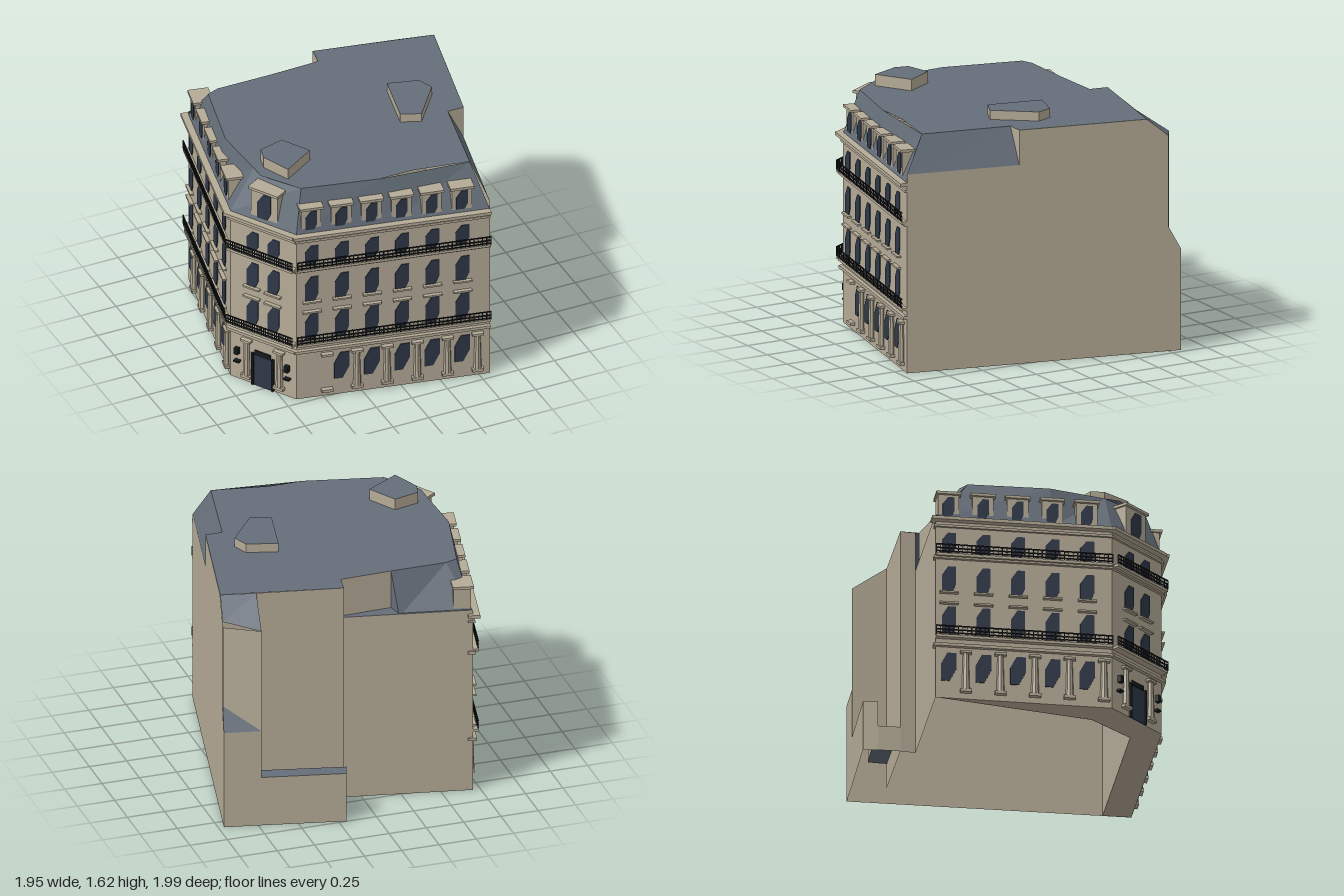
import * as THREE from 'three';

const mat = (name, color) => {
  const m = new THREE.MeshStandardMaterial({ color, side: THREE.DoubleSide, flatShading: true });
  m.name = name;
  return m;
};

export function createModel() {
  const stone = mat('stone', 0xb5ab97), slate = mat('slate', 0x656e79);
  const glass = mat('glass', 0x2e3848), iron = mat('iron', 0x171a1e);
  const root = new THREE.Group();
  root.name = 'cornerBuilding';

  const add = (parent, name, geo, material, x = 0, y = 0, z = 0) => {
    const m = new THREE.Mesh(geo, material);
    m.name = name;
    m.position.set(x, y, z);
    parent.add(m);
    return m;
  };
  const box = (parent, name, m, w, h, d, x, y, z) => add(parent, name, new THREE.BoxGeometry(w, h, d), m, x, y, z);
  const shapeOf = pts => new THREE.Shape(pts.map(p => new THREE.Vector2(p[0], p[1])));

  // ruled surface between two rows of [x, y, z] points
  const loft = (name, m, low, high) => {
    const pos = [];
    for (let i = 0; i + 1 < low.length; i++) {
      pos.push(...low[i], ...low[i + 1], ...high[i + 1], ...low[i], ...high[i + 1], ...high[i]);
    }
    const g = new THREE.BufferGeometry();
    g.setAttribute('position', new THREE.Float32BufferAttribute(pos, 3));
    g.computeVertexNormals();
    add(root, name, g, m);
  };
  const at = (pts, y) => pts.map(p => [p[0], y, p[1]]);
  const wall = (name, pts, y0, y1, m = stone) => loft(name, m, at(pts, y0), at(pts, y1));
  // horizontal polygon from [x, z] points
  const flat = (name, m, pts, y) => {
    const g = new THREE.ShapeGeometry(shapeOf(pts.map(p => [p[0], -p[1]])));
    g.rotateX(-Math.PI / 2);
    add(root, name, g, m, 0, y, 0);
  };
  // group whose x runs along the wall from a to b and whose z points outwards
  const frame = (name, a, b) => {
    const g = new THREE.Group();
    g.name = name;
    g.position.set(a[0], 0, a[1]);
    g.rotation.y = -Math.atan2(b[1] - a[1], b[0] - a[0]);
    root.add(g);
    return [g, Math.hypot(b[0] - a[0], b[1] - a[1])];
  };

  // plan corners
  const A = [-0.70, -0.84], B = [-0.93, 0.27], C = [-0.67, 0.70], D = [0.57, 0.95];
  const E = [0.732, 0.22], G = [0.945, -0.75], H = [0.965, -0.83], I = [0.915, -0.61];
  const J = [0.73, -0.88], K = [0.2, -1.0], M = [0.17, -0.91], N = [0.14, -0.77];
  const O = [0.13, -0.67], Q = [0.69, -0.66], Q2 = [0.71, -0.78];
  const BASE = 1.25, TOP = 1.54;

  // street walls, back wall and blank party wall
  wall('streetWalls', [A, B, C, D], 0, BASE);
  wall('backWall', [O, A], 0, 1.28);
  const [party, pl] = frame('partyWall', D, H);
  add(party, 'partyWallPanel', new THREE.ShapeGeometry(shapeOf([[0, 0], [1, 0], [1, 0.67], [0.955, 0.82],
    [0.955, 1.42], [0.876, TOP], [0.41, TOP], [0.41, 1.31], [0, 1.31]].map(p => [p[0] * pl, p[1]]))), stone);

  // open base: soffit strip and inner walls
  const Bi = [-0.72, 0.21], Ci = [-0.55, 0.53], Di = [0.61, 0.77];
  flat('baseSoffit', stone, [A, B, C, D, Di, Ci, Bi], 0.001);
  wall('innerWalls', [A, Bi, Ci, Di], 0, 1.2);

  // rear wing with splayed corner and low annex
  wall('wingBackWall', [H, J], 0, 0.67);
  wall('annexWall', [J, K, M], 0, 0.34);
  wall('annexSideWall', [M, N], 0, 0.17);
  wall('annexInnerWall', [M, Q2], 0.17, 0.34);
  wall('wingRearWall', [Q, N, O], 0, TOP);
  wall('splayedWall', [G, J], 0.67, 1.38);
  loft('wingReturnWall', stone, at([J, Q], 0.3), [[J[0], 1.38, J[1]], [Q[0], TOP, Q[1]]]);
  loft('splayLedge', slate, [[H[0], 0.67, H[1]], [J[0], 0.67, J[1]]], [[G[0], 0.82, G[1]], [J[0], 0.67, J[1]]]);
  loft('wingRoof', slate, [[G[0], 1.42, G[1]], [J[0], 1.38, J[1]]], at([I, Q], TOP));
  flat('annexRoof', slate, [J, K, M, Q2], 0.34);
  flat('annexYard', slate, [M, N, Q, Q2], 0.17);

  // flat roof, mansard slopes and rear terrace
  const r0 = [-0.67, -0.61], r1 = [-0.77, 0.28], r2 = [-0.6, 0.62], r3 = [0.5, 0.8], r4 = [0.62, 0.22];
  const r5 = [-0.59, -0.64], r6 = [-0.22, -0.64], r7 = [0.12, -0.65];
  flat('flatRoof', slate, [r0, [-0.79, -0.1], r1, [-0.77, 0.38], r2, [-0.1, 0.735], [0.13, 0.735], r3, r4, E, I, N, r7, r6, r5], TOP);
  loft('streetMansard', slate, at([A, [-0.855, -0.1], B, C, [-0.05, 0.825], D], BASE),
    at([r0, [-0.79, -0.1], r1, r2, [-0.1, 0.735], r3], TOP));
  loft('sideMansard', slate, at([D, E], 1.31), at([r3, r4], TOP));
  loft('gableStep', stone, at([E, E], 1.31), at([r4, E], TOP));
  flat('rearTerrace', slate, [O, A, r0, r6, r7], 1.28);
  wall('terraceWall', [r7, r6], 1.28, TOP);
  loft('rearMansard', slate, at([r6, [-0.24, -0.745], A, A], 1.26), at([r6, r6, r5, r0], TOP));

  // chimney stacks
  [[1.615, [-0.69, 0.21], [-0.52, 0.165], [-0.41, 0.35], [-0.63, 0.49], [-0.71, 0.3]],
    [1.6, [0.37, -0.155], [0.57, -0.1], [0.61, 0.005], [0.42, 0.255], [0.295, 0.2]]].forEach(([y, ...pts]) => {
    wall('chimneyStack', [...pts, pts[0]], TOP, y);
    flat('chimneyTop', slate, pts, y);
  });

  // thin pane with cut corners, x and y at its lower centre
  const pane = (g, name, x, y, w, h, pts) => add(g, name, new THREE.ExtrudeGeometry(
    shapeOf(pts.map(p => [(p[0] - 0.5) * w, p[1] * h])), { depth: 0.006, bevelEnabled: false }), glass, x, y, 0);
  const tall = [[0, 0], [0.75, 0], [1, 0.3], [1, 1], [0.45, 1], [0, 0.65]];
  const shop = [[0, 0], [0.55, 0], [1, 0.45], [1, 1], [0.4, 1], [0, 0.6]];

  const pilaster = (g, x, shaft) => {
    box(g, 'pilasterCapital', stone, 0.075, 0.016, 0.035, x, 0.32, 0.014);
    box(g, 'pilasterBase', stone, 0.075, 0.02, 0.035, x, 0.05, 0.014);
    if (shaft) add(g, 'pilasterShaft', new THREE.CylinderGeometry(0.019, 0.026, 0.25, 8), stone, x, 0.185, 0.008);
  };
  const balcony = (g, len, y, out, step) => {
    box(g, 'balconySlab', stone, len, 0.018, out, len / 2, y - 0.009, out / 2);
    [0.012, 0.034, 0.06].forEach(h => box(g, 'balconyRail', iron, len, 0.007, 0.007, len / 2, y + h, out));
    const n = Math.round(len / step);
    for (let i = 0; i <= n; i++) {
      box(g, 'balconyPost', iron, i % 4 ? 0.004 : 0.008, 0.062, 0.005, i * len / n, y + 0.031, out);
    }
  };
  const dormer = (g, x, w, h, winW) => {
    box(g, 'dormerBody', stone, w, h, 0.11, x, BASE + h / 2, -0.065);
    box(g, 'dormerCap', stone, w + 0.025, 0.018, 0.135, x, BASE + h, -0.06);
    pane(g, 'dormerWindow', x, BASE + 0.025, winW, h - 0.05, tall).position.z = -0.011;
  };

  // one street front; columns are distances along the wall
  const facade = (name, a, b, cols, shops, rail, out) => {
    const [g, L] = frame(name, a, b);
    [[0.365, 0.02, 0.025], [0.98, 0.02, 0.02], [1.2, 0.016, 0.015], [1.242, 0.022, 0.045]].forEach(([y, h, d]) =>
      box(g, 'corniceBand', stone, L + d * 0.6, h, d + 0.03, L / 2 - d * 0.3, y, d / 2 - 0.015));
    cols.forEach(x => {
      [[0.45, 0.19], [0.74, 0.18], [1.015, 0.14]].forEach(([y, h]) => pane(g, 'window', x, y, 0.09, h, tall));
      [[0.445, 0.012], [0.66, 0.012], [0.735, 0.012]].forEach(([y, h]) =>
        box(g, 'windowSill', stone, 0.12, h, 0.028, x, y, 0.012));
    });
    shops.forEach(x => pane(g, 'shopWindow', x, 0.12, 0.1, 0.195, shop));
    balcony(g, L, 0.43, out, rail);
    balcony(g, L, 1.0, out, rail);
    return [g, L];
  };

  // main front
  const frontCols = [0, 1, 2, 3, 4, 5].map(i => 0.1 + i * 0.197);
  const [front] = facade('frontFacade', C, D, frontCols, frontCols.slice(1), 0.028, 0.035);
  frontCols.forEach((x, i) => {
    dormer(front, x, 0.13, 0.185, 0.075);
    pilaster(front, x + 0.098, i > 0);
  });

  // left front
  const leftCols = [0, 1, 2, 3, 4].map(i => 0.085 + i * 0.222);
  const [left] = facade('sideFacade', A, B, leftCols, leftCols, 0.028, 0.035);
  leftCols.forEach(x => {
    dormer(left, x, 0.135, 0.185, 0.075);
    pilaster(left, x + 0.108 > 1.05 ? 1.08 : x + 0.108, true);
  });

  // corner bay with the entrance
  const [corner, cl] = facade('cornerBay', B, C, [0.17, 0.33], [], 0.017, 0.05);
  dormer(corner, cl / 2, 0.2, 0.235, 0.1);
  [0.13, 0.38].forEach(x => pilaster(corner, x, true));
  box(corner, 'entranceDoor', glass, 0.14, 0.23, 0.008, cl / 2, 0.115, 0.004);
  box(corner, 'doorLintel', iron, 0.12, 0.03, 0.008, cl / 2, 0.25, 0.006);
  [-1, 1].forEach(s => {
    box(corner, 'doorJamb', iron, 0.016, 0.24, 0.016, cl / 2 + s * 0.075, 0.12, 0.008);
    box(corner, 'wallLamp', iron, 0.03, 0.045, 0.03, cl / 2 + s * 0.19, 0.22, 0.02);
    box(corner, 'lampBracket', iron, 0.04, 0.012, 0.03, cl / 2 + s * 0.19, 0.14, 0.015);
  });
  return root;
}
